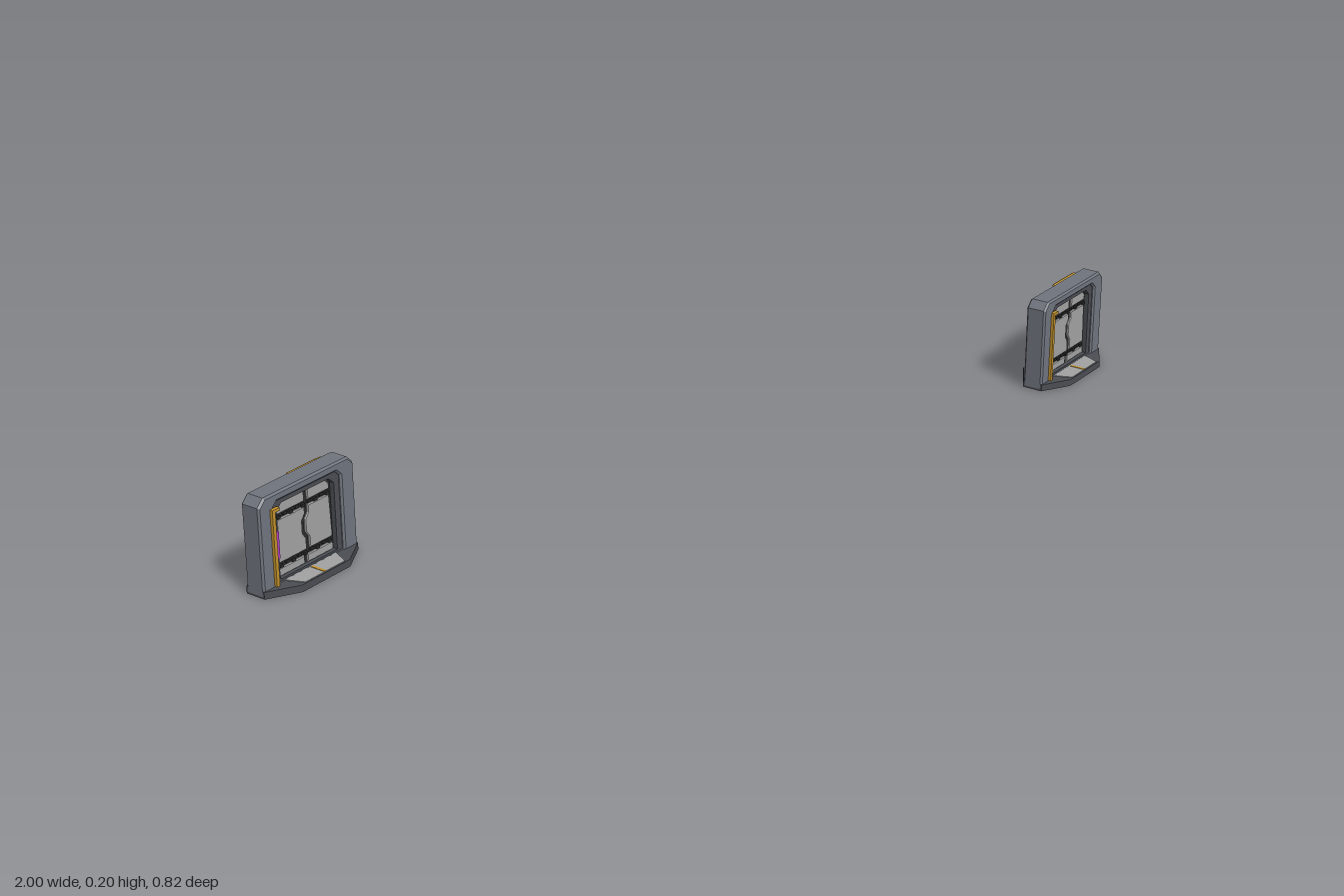
import * as THREE from 'three';

const material = (color) => new THREE.MeshStandardMaterial({ color, flatShading: true });
const steel = material(0x70757e);
const darkSteel = material(0x4a4d53);
const panelGrey = material(0xa2a2a2);
const black = material(0x2b2b2d);
const gold = material(0xc4932c);
const purple = material(0xb03cc4);

function add(parent, name, geometry, mat, x = 0, y = 0, z = 0) {
  const mesh = new THREE.Mesh(geometry, mat);
  mesh.name = name;
  mesh.position.set(x, y, z);
  parent.add(mesh);
  return mesh;
}

const box = (parent, name, mat, size, at) => add(parent, name, new THREE.BoxGeometry(...size), mat, ...at);
const outline = (points) => new THREE.Shape(points.map(([x, y]) => new THREE.Vector2(x, y)));

// Extrusion centred on z = 0, with an optional bevel that stays inside the outline
function slab(shape, depth, bevel = 0) {
  return new THREE.ExtrudeGeometry(shape, {
    depth: depth - 2 * bevel, bevelEnabled: bevel > 0, bevelThickness: bevel,
    bevelSize: bevel, bevelOffset: -bevel, bevelSegments: 1,
  }).translate(0, 0, -depth / 2 + bevel);
}

// Arch with cut upper corners
const arch = (w, bottom, top, cut) => [
  [-w, bottom], [w, bottom], [w, top - cut], [w - cut, top], [-w + cut, top], [-w, top - cut],
];

// Flat plate lying on the floor
const floorPlate = (points, height) =>
  new THREE.ExtrudeGeometry(outline(points), { depth: height, bevelEnabled: false }).rotateX(-Math.PI / 2);

function createDoorway() {
  const door = new THREE.Group();

  // Heavy outer frame and the recessed lining inside it
  const outer = outline(arch(0.1325, 0.004, 0.205, 0.016));
  outer.holes.push(outline(arch(0.094, 0.016, 0.186, 0.012)));
  add(door, 'outerFrame', slab(outer, 0.046, 0.004), steel);
  const lining = outline(arch(0.096, 0.014, 0.188, 0.012));
  lining.holes.push(outline(arch(0.08, 0.02, 0.176, 0.014)));
  add(door, 'innerLining', slab(lining, 0.034), darkSteel);

  // Octagonal threshold
  add(door, 'threshold', floorPlate([
    [-0.1325, -0.023], [-0.067, -0.0605], [0.067, -0.0605], [0.1325, -0.023],
    [0.1325, 0.023], [0.067, 0.0605], [-0.067, 0.0605], [-0.1325, 0.023],
  ], 0.015), darkSteel);
  for (const s of [-1, 1]) {
    const tread = floorPlate([[-0.072, 0.02], [0.072, 0.02], [0.056, 0.058], [-0.056, 0.058]], 0.0015);
    const mesh = add(door, 'thresholdTread', tread, panelGrey, 0, 0.015, 0);
    if (s > 0) mesh.rotation.y = Math.PI;
    box(door, 'thresholdStripe', gold, [0.006, 0.001, 0.036], [0, 0.017, s * 0.0405]);
  }

  // Door core, showing dark between the leaf panels
  add(door, 'doorCore', slab(outline(arch(0.084, 0.014, 0.182, 0.014)), 0.012), black);

  // Leaf panels on either side of a bent centre seam
  const seam = [[0.008, 0.048], [0.008, 0.072], [-0.001, 0.085], [-0.001, 0.112], [0.008, 0.124], [0.008, 0.14]];
  const gap = 0.004;
  const leaves = {
    leftLeaf: [[-0.073, 0.14], [-0.077, 0.048], ...seam.map(([x, y]) => [x - gap, y])],
    rightLeaf: [[0.077, 0.048], [0.073, 0.14], ...seam.map(([x, y]) => [x + gap, y]).reverse()],
    leftUpperPanel: [[-0.074, 0.15], [0.004, 0.15], [0.004, 0.174], [-0.062, 0.174], [-0.074, 0.163]],
    rightUpperPanel: [[0.012, 0.15], [0.074, 0.15], [0.074, 0.163], [0.062, 0.174], [0.012, 0.174]],
    leftLowerPanel: [[-0.077, 0.02], [-0.003, 0.02], [-0.003, 0.038], [-0.077, 0.038]],
    rightLowerPanel: [[0.004, 0.02], [0.077, 0.02], [0.077, 0.038], [0.004, 0.038]],
  };
  for (const [name, points] of Object.entries(leaves)) {
    add(door, name, slab(outline(points), 0.02, 0.002), panelGrey);
  }

  // Interlocking teeth along the horizontal seams
  for (const y of [0.043, 0.145]) {
    for (let i = 0; i < 9; i++) {
      box(door, 'seamTooth', black, [0.009, 0.006, 0.022], [-0.068 + i * 0.017, y + (i % 2 ? 0.002 : -0.002), 0]);
    }
  }

  // Gold jamb strips and lit panels, turned half round on the back
  for (const s of [-1, 1]) {
    box(door, 'jambStrip', gold, [0.008, 0.16, 0.008], [-s * 0.099, 0.096, s * 0.0255]);
    box(door, 'jambCap', gold, [0.02, 0.006, 0.008], [-s * 0.093, 0.173, s * 0.0255]);
    box(door, 'litPanel', purple, [0.009, 0.058, 0.004], [-s * 0.085, 0.094, s * 0.0185]);
  }

  // Gold conduit on the back, along the lintel and down one side
  const conduit = new THREE.CurvePath();
  const path = [[0, 0.188, -0.024], [0.004, 0.194, -0.033], [0.1, 0.194, -0.033],
    [0.11, 0.184, -0.033], [0.11, 0.122, -0.033], [0.11, 0.112, -0.024]]
    .map((p) => new THREE.Vector3(...p));
  for (let i = 1; i < path.length; i++) conduit.add(new THREE.LineCurve3(path[i - 1], path[i]));
  add(door, 'conduit', new THREE.TubeGeometry(conduit, 40, 0.004, 6), gold);

  return door;
}

export function createModel() {
  const model = new THREE.Group();
  // Two equal doorways at opposite corners
  for (const [name, s] of [['leftDoorway', 1], ['rightDoorway', -1]]) {
    const door = createDoorway();
    door.name = name;
    door.position.set(s * 0.8675, 0, s * 0.3505);
    model.add(door);
  }
  return model;
}
